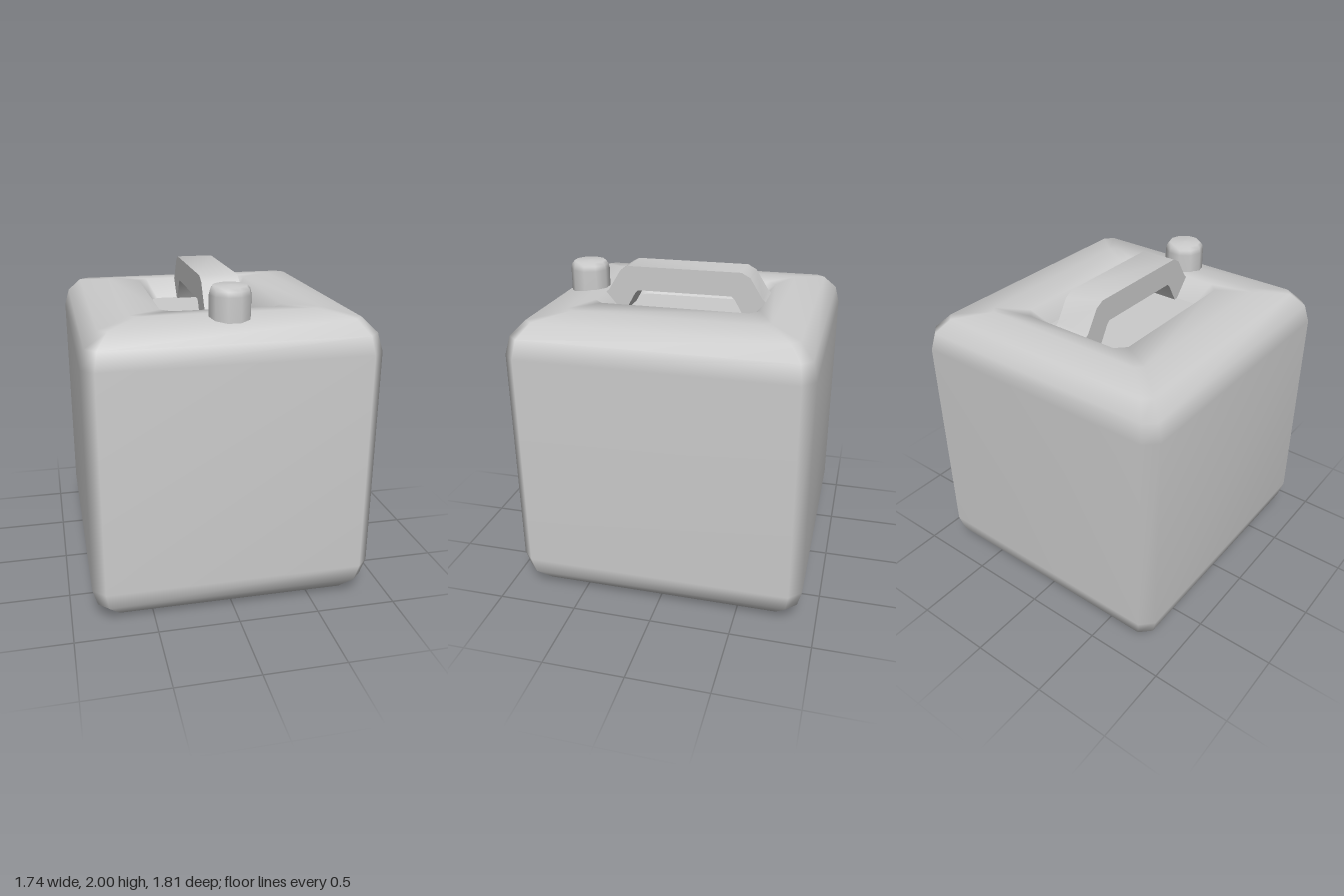
import * as THREE from 'three';
import { toCreasedNormals } from 'three/addons/utils/BufferGeometryUtils.js';

const material = new THREE.MeshStandardMaterial({ color: 0xcccccc });

// Rectangle with cut corners, counter-clockwise seen from above
function ring([hx, hz, cut, y]) {
  const ix = hx - cut, iz = hz - cut;
  return [
    [hx, y, iz], [hx, y, -iz], [ix, y, -hz], [-ix, y, -hz],
    [-hx, y, -iz], [-hx, y, iz], [-ix, y, hz], [ix, y, hz],
  ];
}

function buildGeometry(points, index) {
  const geometry = new THREE.BufferGeometry();
  geometry.setAttribute('position', new THREE.Float32BufferAttribute(points.flat(), 3));
  geometry.setIndex(index);
  geometry.computeVertexNormals();
  return geometry;
}

// Skin over the rings, closed at the first ring
function loft(sections) {
  const points = sections.flatMap(ring);
  const index = [];
  for (let s = 0; s < sections.length - 1; s++) {
    for (let i = 0; i < 8; i++) {
      const a = s * 8 + i, b = s * 8 + (i + 1) % 8;
      index.push(a, b, b + 8, a, b + 8, a + 8);
    }
  }
  for (let i = 1; i < 7; i++) index.push(0, i + 1, i);
  return buildGeometry(points, index);
}

function addMesh(group, name, geometry) {
  const mesh = new THREE.Mesh(geometry, material);
  mesh.name = name;
  group.add(mesh);
  return mesh;
}

export function createModel() {
  const group = new THREE.Group();
  group.name = 'canister';

  // Body: half width, half depth, corner cut, height; ends down inside the recess
  const recessFloor = [0.305, 0.415, 0.055, 1.71];
  addMesh(group, 'body', loft([
    [0.60, 0.64, 0.04, 0],
    [0.76, 0.80, 0.05, 0.03],
    [0.84, 0.88, 0.065, 0.12],
    [0.87, 0.907, 0.075, 0.23],
    [0.87, 0.907, 0.075, 1.605],
    [0.84, 0.88, 0.065, 1.715],
    [0.76, 0.80, 0.05, 1.798],
    [0.57, 0.61, 0.04, 1.828],
    [0.372, 0.515, 0.06, 1.828],
    recessFloor,
  ]));

  // Flat floor of the recess, with its own crisp edge
  const floorIndex = [];
  for (let i = 1; i < 7; i++) floorIndex.push(0, i, i + 1);
  addMesh(group, 'recessFloor', buildGeometry(ring(recessFloor), floorIndex));

  // Handle: half profile mirrored front to back, legs reaching into the recess
  const half = [
    [0.36, 2.0], [0.415, 1.97], [0.495, 1.842], [0.52, 1.822], [0.45, 1.69],
    [0.40, 1.69], [0.32, 1.83], [0.30, 1.848],
  ];
  const profile = [...half, ...half.map(([z, y]) => [-z, y]).reverse()];
  const shape = new THREE.Shape(profile.map(([z, y]) => new THREE.Vector2(z, y)));
  const width = 0.23;
  const handleGeometry = new THREE.ExtrudeGeometry(shape, { depth: width, bevelEnabled: false });
  handleGeometry.translate(0, 0, -width / 2).rotateY(-Math.PI / 2);
  addMesh(group, 'handle', toCreasedNormals(handleGeometry, 0.7));

  // Cap with a rounded top edge
  const capProfile = [[0.124, 1.72], [0.124, 1.945], [0.117, 1.975], [0.1, 1.996], [0, 2.0]]
    .map(([r, y]) => new THREE.Vector2(r, y));
  const cap = addMesh(group, 'cap', new THREE.LatheGeometry(capProfile, 10, Math.PI / 2));
  cap.position.z = 0.658;

  return group;
}
